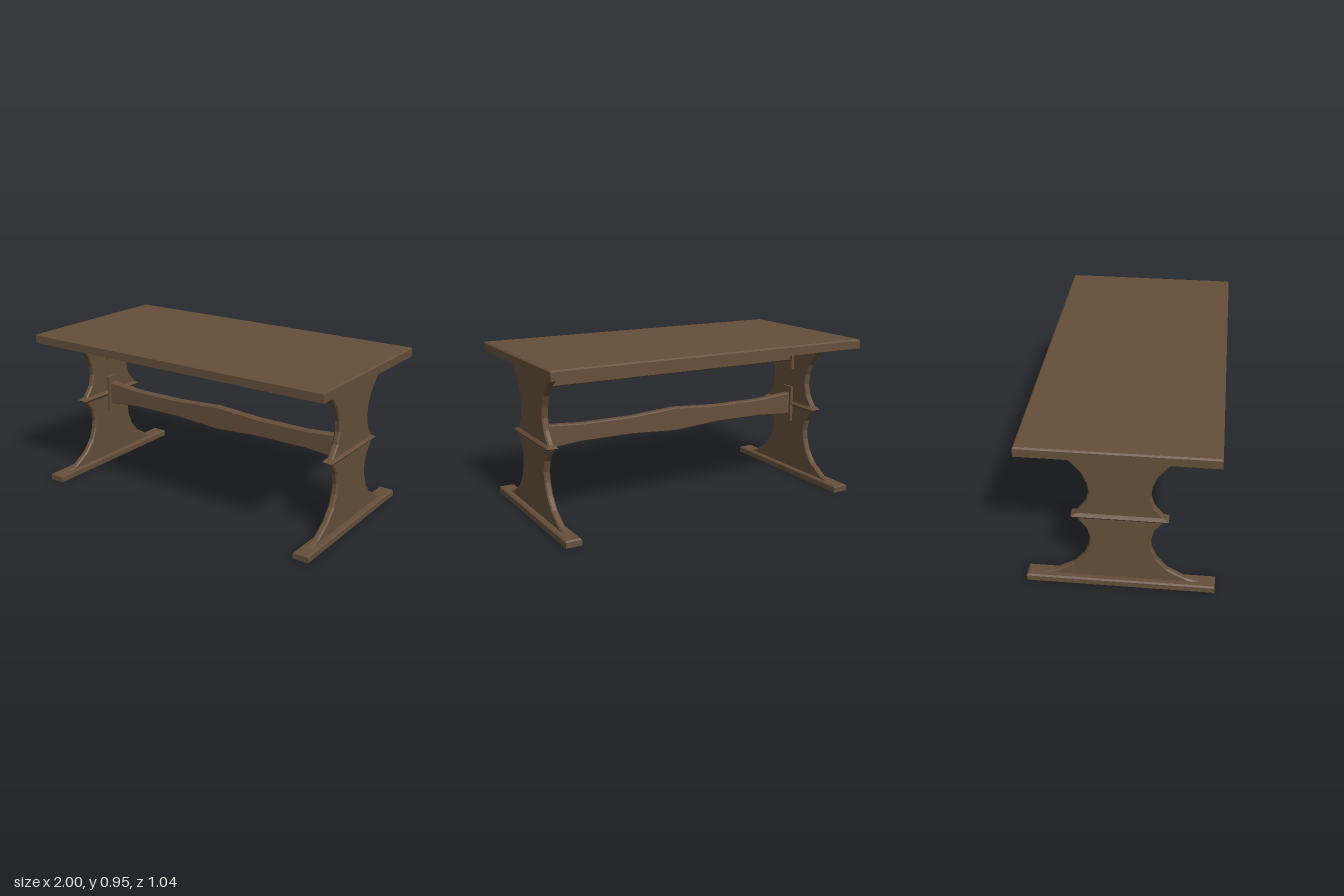
import * as THREE from 'three';

const wood = new THREE.MeshStandardMaterial({ color: 0x664f3a, flatShading: true });
wood.name = 'brown wood';

function part(name, geometry, x = 0, y = 0, z = 0) {
  const mesh = new THREE.Mesh(geometry, wood);
  mesh.name = name;
  mesh.position.set(x, y, z);
  return mesh;
}

// Box standing on y = 0 with a chamfer around its top edge
function chamferedSlab(w, h, d, c) {
  const g = new THREE.BoxGeometry(w, h, d, 1, 2, 1);
  const p = g.attributes.position;
  for (let i = 0; i < p.count; i++) {
    const y = p.getY(i);
    if (y > h * 0.25) p.setXYZ(i, p.getX(i) * (1 - 2 * c / w), h, p.getZ(i) * (1 - 2 * c / d));
    else p.setY(i, y < -h * 0.25 ? 0 : h - c);
  }
  g.computeVertexNormals();
  return g;
}

// Box whose middle is pushed out to a pointed edge
function pointedBand(w, h, d, out) {
  const g = new THREE.BoxGeometry(w, h, d, 1, 2, 1);
  const p = g.attributes.position;
  for (let i = 0; i < p.count; i++) {
    if (Math.abs(p.getY(i)) < h * 0.25) {
      p.setX(i, p.getX(i) * (1 + 2 * out.x / w));
      p.setZ(i, p.getZ(i) * (1 + 2 * out.z / d));
    }
  }
  g.computeVertexNormals();
  return g;
}

// Outline extruded to a centred thickness, with bevelled edges
function board(points, thickness, bevel) {
  const g = new THREE.ExtrudeGeometry(new THREE.Shape(points), {
    depth: thickness - 2 * bevel, bevelEnabled: true, bevelThickness: bevel,
    bevelSize: bevel, bevelOffset: -bevel, bevelSegments: 1,
  });
  return g.translate(0, 0, -thickness / 2 + bevel);
}

// Half-width and height pairs, from the foot up to the waist
const LOWER = [[0.43, 0.03], [0.43, 0.04], [0.36, 0.056], [0.257, 0.118], [0.2, 0.187],
  [0.172, 0.255], [0.165, 0.315], [0.182, 0.382], [0.237, 0.452]];
const WAIST = 0.468;

function panelGeometry() {
  const upper = LOWER.map(([z, y]) => [z, 2 * WAIST - y]).reverse();
  const side = [...LOWER, ...upper].map(([z, y]) => new THREE.Vector2(z, y));
  const mirrored = side.map(v => new THREE.Vector2(-v.x, v.y)).reverse();
  return board([...side, ...mirrored], 0.038, 0.008).rotateY(Math.PI / 2);
}

function stretcherGeometry() {
  const xs = [-0.865, -0.62, -0.3, 0, 0.3, 0.62, 0.865];
  const half = [0.072, 0.053, 0.053, 0.072, 0.053, 0.053, 0.072];
  const bottom = xs.map((x, i) => new THREE.Vector2(x, 0.469 - half[i]));
  const top = xs.map((x, i) => new THREE.Vector2(x, 0.469 + half[i])).reverse();
  return board([...bottom, ...top], 0.05, 0.006);
}

function apronGeometry() {
  const corners = [[-0.865, 0.755], [0.865, 0.755], [0.865, 0.905], [-0.865, 0.905]];
  return board(corners.map(([x, y]) => new THREE.Vector2(x, y)), 0.05, 0.006);
}

export function createModel() {
  const table = new THREE.Group();
  table.name = 'trestleTable';

  table.add(part('tableTop', chamferedSlab(2, 0.055, 1.044, 0.008), 0, 0.897));
  table.add(part('apron', apronGeometry()));
  table.add(part('stretcher', stretcherGeometry()));

  // Trestle ends, mirrored left and right
  for (const s of [1, -1]) {
    const end = new THREE.Group();
    end.name = s > 0 ? 'leftTrestle' : 'rightTrestle';
    end.add(part('panel', panelGeometry(), s * 0.896));
    end.add(part('foot', chamferedSlab(0.094, 0.04, 1.044, 0.008), s * 0.9));
    end.add(part('waistMoulding',
      pointedBand(0.038, 0.034, 0.46, { x: 0.014, z: 0.031 }), s * 0.896, WAIST));
    // Mounting blocks for the apron and the stretcher
    end.add(part('apronBlock', new THREE.BoxGeometry(0.026, 0.197, 0.085), s * 0.871, 0.8));
    end.add(part('stretcherBlock', new THREE.BoxGeometry(0.026, 0.23, 0.085), s * 0.871, 0.469));
    table.add(end);
  }
  return table;
}
